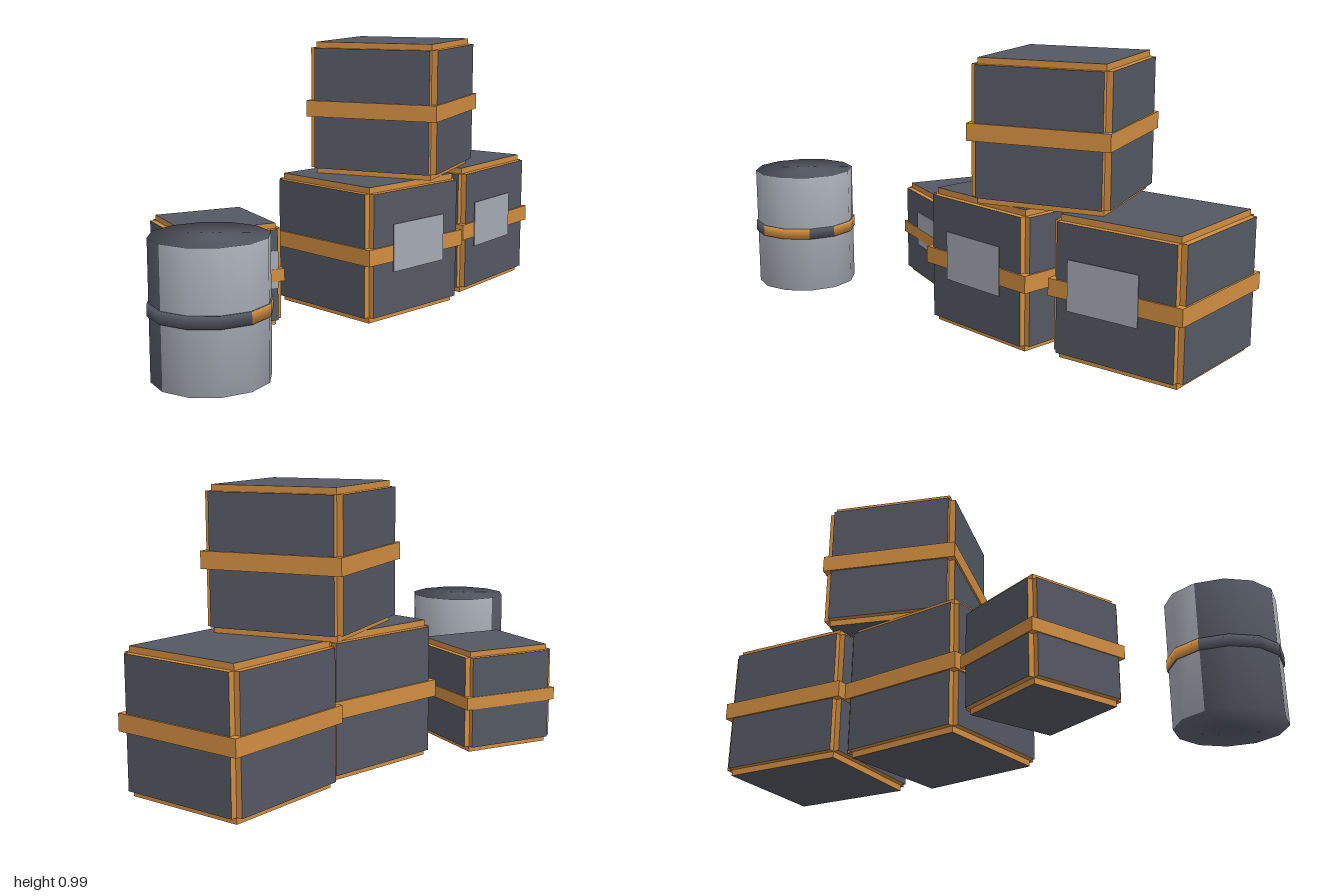
import * as THREE from 'three';
import { mergeVertices } from 'three/addons/utils/BufferGeometryUtils.js';

function makeMaterial(name, color) {
  const material = new THREE.MeshStandardMaterial({ color });
  material.name = name;
  return material;
}

export function createModel() {
  const slate = makeMaterial('slate panel', 0x545863);
  const orange = makeMaterial('orange trim', 0xd08d40);
  const pale = makeMaterial('pale grey', 0xa4a9b3);

  const model = new THREE.Group();
  model.name = 'cargoStack';

  function addMesh(parent, name, geometry, material, x = 0, y = 0, z = 0) {
    const mesh = new THREE.Mesh(geometry, material);
    mesh.name = name;
    mesh.position.set(x, y, z);
    parent.add(mesh);
    return mesh;
  }

  // Crate: three crossed boxes give raised slate panels with orange rebated edges
  function addCrate({ name, x, z, base, turn, core, step, strap, strapHeight, label }) {
    const crate = new THREE.Group();
    const size = core + 2 * step;
    crate.name = name;
    crate.position.set(x, base + size / 2, z);
    model.add(crate);

    const body = new THREE.Group();
    body.name = 'crateBody';
    body.rotation.y = turn;
    crate.add(body);
    ['sidePanels', 'topAndBottomPanels', 'frontAndBackPanels'].forEach((panel, axis) => {
      const dims = [core, core, core];
      dims[axis] = size;
      const mats = Array.from({ length: 6 }, (_, f) => (f >> 1 === axis ? slate : orange));
      addMesh(body, panel, new THREE.BoxGeometry(...dims), mats);
    });
    addMesh(body, 'strap', new THREE.BoxGeometry(strap, strapHeight, strap), orange);

    // Label plate, set straight ahead of the crate centre and turned with it
    if (label) {
      const [w, h, up, ahead] = label;
      const plate = addMesh(crate, 'label', new THREE.BoxGeometry(w, h, 0.003), pale, 0, up, ahead);
      plate.rotation.y = turn;
    }
  }

  const large = { base: 0, core: 0.45, step: 0.022, strap: 0.508, strapHeight: 0.06 };
  const largeLabel = [0.27, 0.175, 0.021, 0.26];
  addCrate({ ...large, name: 'middleCrate', x: 0.177, z: -0.019, turn: 0, label: largeLabel });
  addCrate({ ...large, name: 'leftCrate', x: 0.706, z: -0.1, turn: 0.15, label: largeLabel });
  addCrate({ ...large, name: 'topCrate', x: 0.34, z: -0.04, base: 0.493, turn: 0.4 });
  addCrate({
    name: 'smallCrate', x: -0.398, z: -0.228, base: 0, turn: -0.3,
    core: 0.33, step: 0.02, strap: 0.378, strapHeight: 0.045, label: [0.215, 0.135, 0.022, 0.195],
  });

  // Twelve-sided drum with softly blended normals; pick() chooses each side's material slot
  function drumGeometry(radius, height, pick, capSlot) {
    const raw = new THREE.CylinderGeometry(radius, radius, height, 12);
    raw.deleteAttribute('normal');
    raw.deleteAttribute('uv');
    const geometry = mergeVertices(raw);
    geometry.computeVertexNormals();
    geometry.clearGroups();
    for (let i = 0; i < 12; i++) geometry.addGroup(i * 6, 6, pick(i));
    geometry.addGroup(72, 72, capSlot);
    return geometry;
  }

  // Barrel: pale sides, three slate sides at the back right, slate lids
  const barrel = new THREE.Group();
  barrel.name = 'barrel';
  barrel.position.set(-0.81, 0, 0.266);
  model.add(barrel);
  const isBack = (i) => (i >= 6 && i <= 8 ? 1 : 0);
  addMesh(barrel, 'barrelBody', drumGeometry(0.19, 0.453, isBack, 1), [pale, slate], 0, 0.2265, 0);

  // Hoop: partly orange, partly slate
  const hoopSlot = (i) => (i < 6 && i !== 2 ? 0 : 1);
  addMesh(barrel, 'barrelHoop', drumGeometry(0.196, 0.04, hoopSlot, 1), [orange, slate], 0, 0.23, 0);

  return model;
}
